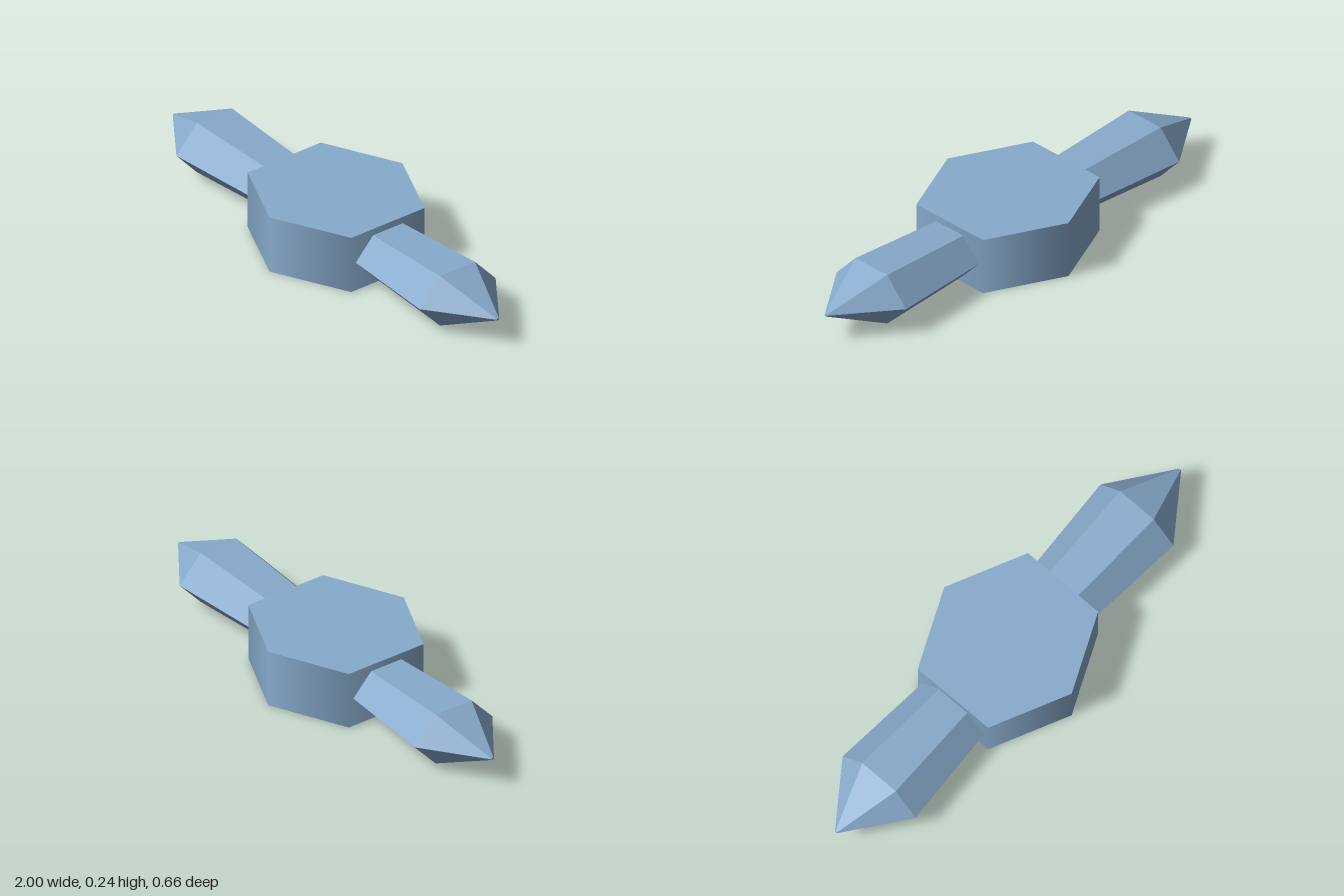
import * as THREE from 'three';

const HEIGHT = 0.243;

// Six-sided hub with points facing front and back and softly shaded sides
function hubGeometry() {
  const geo = new THREE.CylinderGeometry(1, 1, HEIGHT, 6);
  const pos = geo.attributes.position;
  for (let i = 0; i < pos.count; i++) {
    const z = pos.getZ(i);
    const corner = Math.abs(z) < 0.9;
    pos.setX(i, (pos.getX(i) / Math.sin(Math.PI / 3)) * 0.32);
    pos.setZ(i, Math.abs(z) < 0.01 ? 0 : Math.sign(z) * (corner ? 0.182 : 0.33));
  }
  return geo;
}

// Spike along +x: [x, half height, half width, half width of the flat top]
const SECTIONS = [
  [0.3, 0.091, 0.158, 0.073],
  [0.75, 0.111, 0.189, 0.087],
  [1.0, 0.004, 0.006, 0.004],
];

function spikeGeometry() {
  const geo = new THREE.CylinderGeometry(1, 1, 2, 6, 2);
  const pos = geo.attributes.position;
  for (let i = 0; i < pos.count; i++) {
    const px = pos.getX(i), pz = pos.getZ(i);
    const [x, halfHeight, halfWidth, flat] = SECTIONS[Math.round(pos.getY(i)) + 1];
    const onAxis = Math.hypot(px, pz) < 0.01;
    const y = -(px / Math.sin(Math.PI / 3)) * halfHeight;
    const z = onAxis ? 0 : Math.sign(pz) * (Math.abs(pz) > 0.9 ? halfWidth : flat);
    pos.setXYZ(i, x, y, z);
  }
  geo.computeVertexNormals();
  return geo;
}

export function createModel() {
  const group = new THREE.Group();
  group.name = 'spikedHub';

  const hubBlue = new THREE.MeshStandardMaterial({ color: 0x88aacc });
  hubBlue.name = 'steelBlue';
  const spikeBlue = hubBlue.clone();
  spikeBlue.name = 'steelBlueFaceted';
  spikeBlue.flatShading = true;

  const hub = new THREE.Mesh(hubGeometry(), hubBlue);
  hub.name = 'hub';
  hub.position.y = HEIGHT / 2;
  group.add(hub);

  // One spike on each side
  const geo = spikeGeometry();
  for (const [name, turn] of [['leftSpike', 0], ['rightSpike', Math.PI]]) {
    const spike = new THREE.Mesh(geo, spikeBlue);
    spike.name = name;
    spike.position.y = 0.123;
    spike.rotation.y = turn;
    group.add(spike);
  }
  return group;
}
